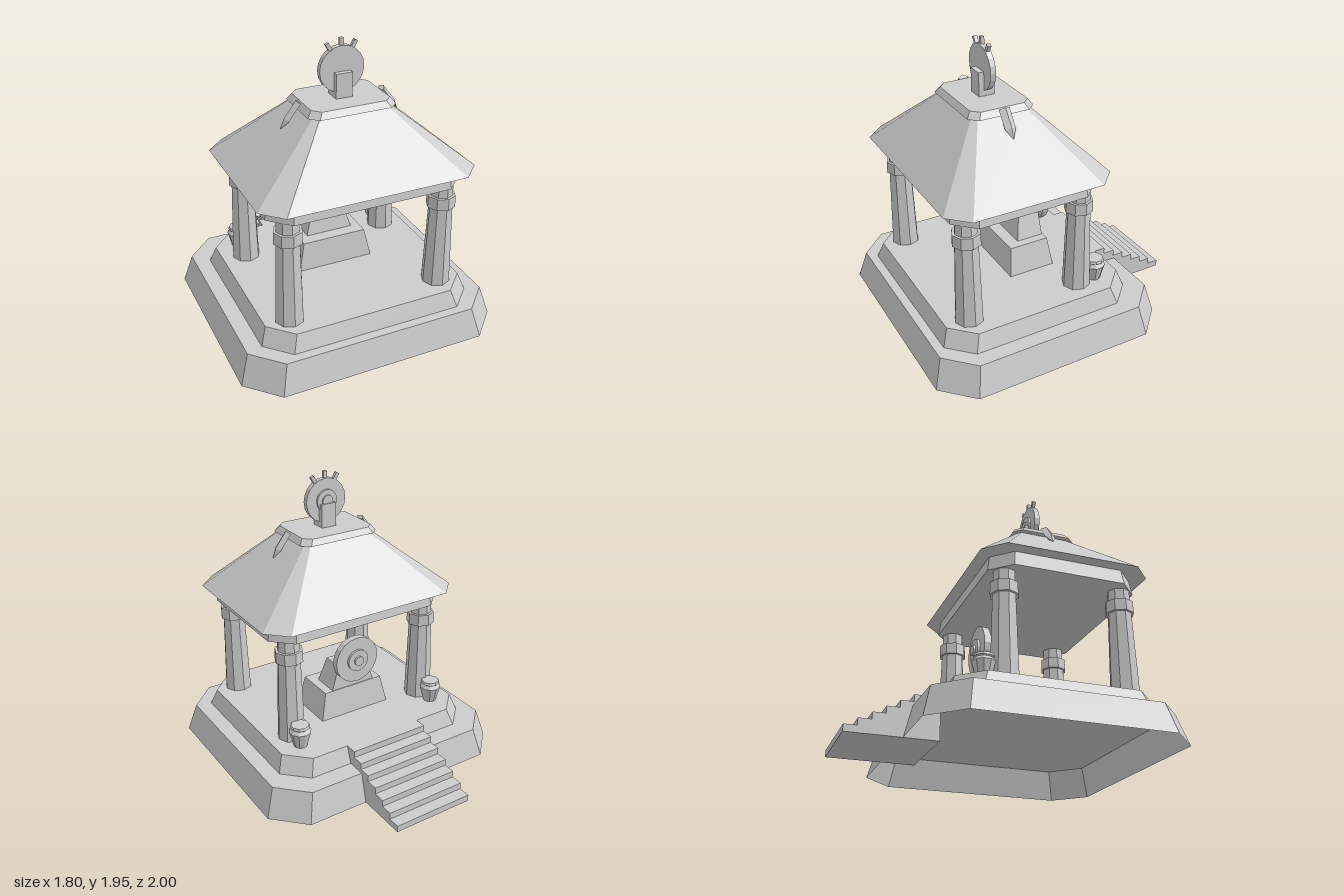
import * as THREE from 'three';

const stone = new THREE.MeshStandardMaterial({ color: 0xcccccc, flatShading: true, side: THREE.DoubleSide });
stone.name = 'pale stone';

function add(parent, name, geometry, x = 0, y = 0, z = 0) {
  const mesh = new THREE.Mesh(geometry, stone);
  mesh.name = name;
  mesh.position.set(x, y, z);
  parent.add(mesh);
  return mesh;
}

// Chamfered rectangle, counter-clockwise seen from above: s = { y, x, back, front, cut }
function section({ y, x, back, front, cut }) {
  const corners = [
    [-x + cut, front], [x - cut, front], [x, front - cut], [x, back + cut],
    [x - cut, back], [-x + cut, back], [-x, back + cut], [-x, front - cut],
  ];
  return corners.map(([px, pz]) => new THREE.Vector3(px, y, pz));
}

// Tapered block between two chamfered sections
function frustum(low, high, closedBottom = true) {
  const a = section(low), b = section(high), points = [];
  for (let i = 0; i < 8; i++) {
    const j = (i + 1) % 8;
    points.push(a[i], a[j], b[j], a[i], b[j], b[i]);
    if (i > 0 && i < 7) {
      points.push(b[0], b[i], b[j]);
      if (closedBottom) points.push(a[0], a[j], a[i]);
    }
  }
  const geometry = new THREE.BufferGeometry().setFromPoints(points);
  geometry.computeVertexNormals();
  return geometry;
}

const block = (y, x, back, front, cut) => ({ y, x, back, front, cut });

// Disc whose axis runs along z
function disc(radius, depth, sides = 20) {
  return new THREE.CylinderGeometry(radius, radius, depth, sides).rotateX(Math.PI / 2);
}

export function createModel() {
  const model = new THREE.Group();
  model.name = 'pavilion';

  // Stepped platform, hollow below
  add(model, 'lowerPlatform', frustum(block(0, 0.9, -0.65, 1, 0.2), block(0.2, 0.84, -0.6, 0.945, 0.185), false));
  add(model, 'upperPlatform', frustum(block(0.2, 0.735, -0.47, 0.885, 0.155), block(0.315, 0.695, -0.43, 0.845, 0.15), false));

  // Staircase at the back
  const profile = new THREE.Shape();
  const steps = 7, rise = 0.315 / steps, run = 0.57 / steps;
  profile.moveTo(1, 0);
  for (let i = 0; i < steps; i++) {
    profile.lineTo(1 - i * run, (i + 1) * rise);
    profile.lineTo(1 - (i + 1) * run, (i + 1) * rise);
  }
  profile.lineTo(0.43, 0);
  const stairs = new THREE.ExtrudeGeometry(profile, { depth: 0.57, bevelEnabled: false });
  add(model, 'stairs', stairs.translate(0, 0, -0.285).rotateY(Math.PI / 2));

  // Columns with collars
  for (const x of [-0.527, 0.527]) {
    for (const z of [-0.115, 0.68]) {
      const column = new THREE.Group();
      column.name = 'column';
      column.position.set(x, 0, z);
      add(column, 'columnShaft', new THREE.CylinderGeometry(0.073, 0.095, 0.735, 8), 0, 0.6825, 0);
      add(column, 'columnCollar', new THREE.CylinderGeometry(0.093, 0.095, 0.08, 8), 0, 0.925, 0);
      model.add(column);
    }
  }

  // Pots beside the stairs
  const potProfile = [[0, 0.315], [0.045, 0.315], [0.075, 0.425], [0.058, 0.448], [0.066, 0.455], [0.06, 0.472], [0, 0.472]]
    .map(([r, y]) => new THREE.Vector2(r, y));
  for (const x of [-0.535, 0.535]) {
    add(model, 'pot', new THREE.LatheGeometry(potProfile, 10), x, 0, -0.25);
  }

  // Altar with its disc facing the stairs
  add(model, 'altarBase', frustum(block(0.315, 0.267, -0.09, 0.24, 0), block(0.51, 0.225, -0.065, 0.215, 0)));
  add(model, 'altarPillar', frustum(block(0.51, 0.165, -0.06, 0.13, 0), block(0.685, 0.115, -0.055, 0.095, 0)));
  add(model, 'altarBlock', new THREE.BoxGeometry(0.12, 0.105, 0.085), 0, 0.7375, -0.0275);
  add(model, 'altarDisc', disc(0.165, 0.045), 0, 0.73, -0.09);
  add(model, 'altarDiscRing', disc(0.078, 0.02), 0, 0.73, -0.12);
  add(model, 'altarDiscHub', disc(0.035, 0.02, 12), 0, 0.73, -0.135);

  // Roof: beam ring, slopes and cap
  add(model, 'beamRing', frustum(block(1.045, 0.66, -0.225, 0.785, 0.13), block(1.145, 0.645, -0.21, 0.77, 0.125)));
  add(model, 'roof', frustum(block(1.145, 0.73, -0.295, 0.855, 0.13), block(1.54, 0.257, 0.09, 0.48, 0.03)));
  add(model, 'roofCap', frustum(block(1.54, 0.295, 0.06, 0.512, 0.055), block(1.58, 0.265, 0.085, 0.483, 0.05)));

  // Pointed ribs lying on the side slopes
  const ribProfile = [[0, 0], [0.037, 0], [0.037, 0.13], [0, 0.2]].map(([r, y]) => new THREE.Vector2(r, y));
  for (const side of [-1, 1]) {
    const rib = add(model, 'roofRib', new THREE.LatheGeometry(ribProfile, 4), side * 0.283, 1.58, 0.285);
    rib.scale.x = 0.6;
    rib.rotation.z = -side * (Math.PI - Math.atan2(0.12, 0.157));
  }

  // Finial: sun disc in a block, with three rays
  const finial = new THREE.Group();
  finial.name = 'finial';
  finial.position.set(0, 1.755, 0.285);
  add(finial, 'finialBlock', new THREE.BoxGeometry(0.11, 0.16, 0.108), 0, -0.095, 0);
  add(finial, 'finialDisc', disc(0.15, 0.037));
  add(finial, 'finialRing', disc(0.075, 0.015), 0, 0, -0.026);
  add(finial, 'finialHub', disc(0.04, 0.012, 12), 0, 0, -0.038);
  for (const angle of [-Math.PI / 6, 0, Math.PI / 6]) {
    const ray = add(finial, 'finialRay', new THREE.BoxGeometry(0.024, 0.055, 0.024).translate(0, 0.1675, 0));
    ray.rotation.z = angle;
  }
  model.add(finial);

  return model;
}
